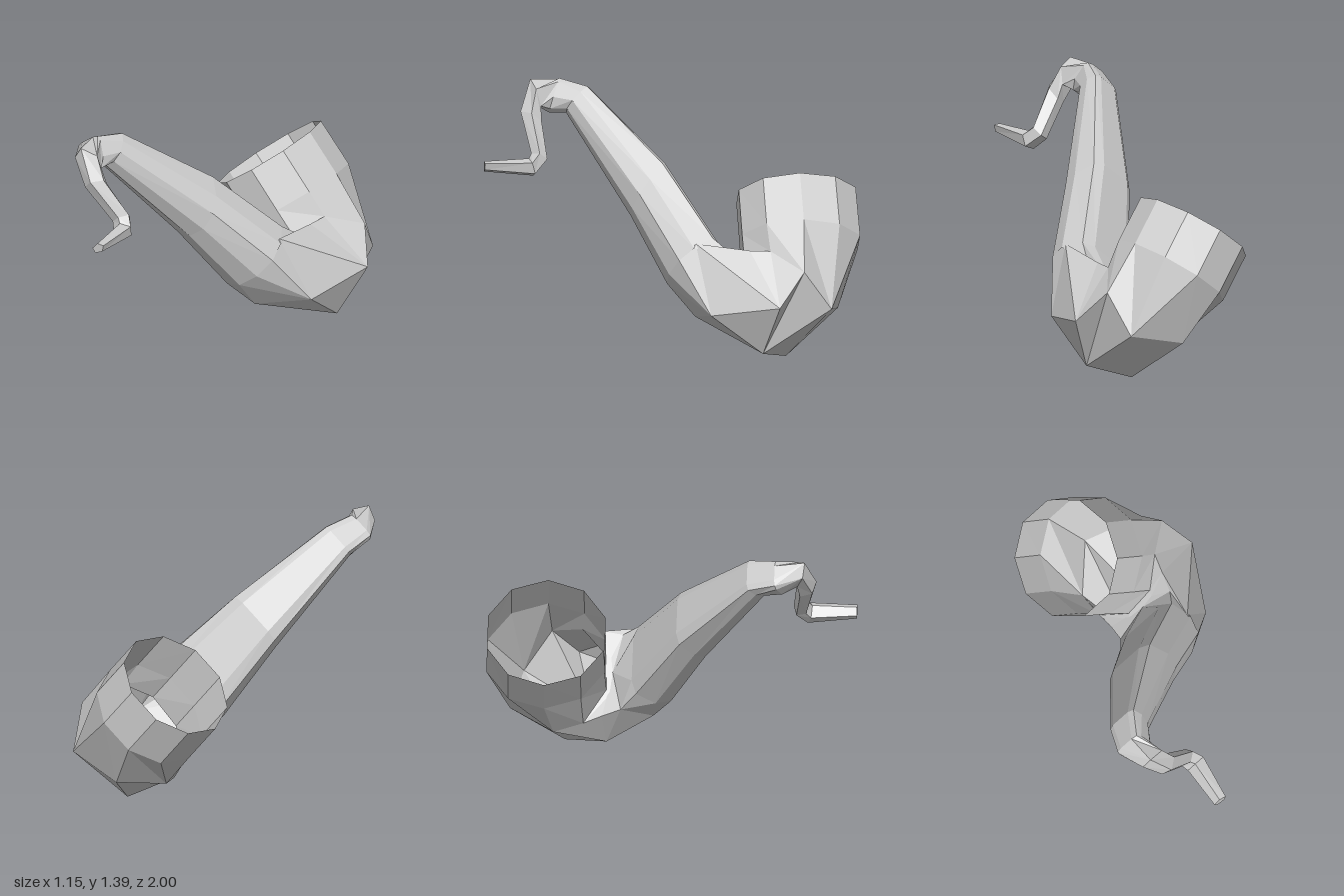
import * as THREE from 'three';

// The pipe lies tilted: U runs up the bowl, W runs across it, and z runs along the stem.
const U = new THREE.Vector3(-0.61, 0.79, 0);
const W = new THREE.Vector3(0.79, 0.61, 0);
const SIDES = 10;

// Cross-section: outer and inner edge as [z, u], centre and half-width along W,
// how far the widest point sits towards the outer edge, a power that squares off
// the inner side (1 = round), and merged corners per side.
function ring({ outer, inner, centre, half, wide = 0.5, square = 1, merge = 1 }) {
  const mid = inner.map((v, k) => v + (outer[k] - v) * wide);
  const points = [];
  for (let i = 0; i < SIDES; i++) {
    const t = Math.floor(i / merge) * merge / SIDES * Math.PI * 2;
    const sin = Math.sin(t) / Math.sin(Math.PI * 0.4);
    const cos = Math.cos(t);
    const edge = sin > 0 ? inner : outer;
    const power = sin > 0 ? square : 1;
    const [z, u] = mid.map((m, k) => m + (edge[k] - m) * Math.abs(sin) ** power);
    points.push(new THREE.Vector3(0, 0, z)
      .addScaledVector(U, u)
      .addScaledVector(W, centre + half * Math.sign(cos) * Math.abs(cos) ** power));
  }
  return points;
}

// Irregular cross-section: corners as [x, y, z], each repeated to make up the full count
function facetRing(...corners) {
  return corners.flatMap(([x, y, z, repeat = 1]) => Array(repeat).fill(new THREE.Vector3(x, y, z)));
}

// Faceted skin through a row of cross-sections
function loft(name, rings, capEnd, material) {
  const corners = [];
  for (let i = 0; i < rings.length - 1; i++) {
    for (let j = 0; j < SIDES; j++) {
      const k = (j + 1) % SIDES;
      const [a, b, c, d] = [rings[i][j], rings[i][k], rings[i + 1][j], rings[i + 1][k]];
      for (const tri of [[a, b, c], [b, d, c]]) {
        // skip triangles that vanish where corners merge
        if (new THREE.Triangle(...tri).getArea() > 1e-7) corners.push(...tri);
      }
    }
  }
  if (capEnd) {
    const end = rings[rings.length - 1];
    for (let j = 2; j < SIDES - 2; j += 2) corners.push(end[0], end[j], end[j + 2]);
  }
  const geometry = new THREE.BufferGeometry().setFromPoints(corners);
  geometry.computeVertexNormals();
  const mesh = new THREE.Mesh(geometry, material);
  mesh.name = name;
  return mesh;
}

export function createModel() {
  const group = new THREE.Group();
  group.name = 'smokingPipe';
  const material = new THREE.MeshStandardMaterial({
    color: 0xcccccc, flatShading: true, side: THREE.DoubleSide,
  });

  // sections shared by neighbouring parts
  const neck = ring({ outer: [0.04, 0.235], inner: [-0.22, 0.4], centre: 0.395, half: 0.225, square: 0.45 });
  const bend = ring({ outer: [0.68, 1.22], inner: [0.73, 1.38], centre: 0.46, half: 0.07, merge: 2 });
  const heel = ring({ outer: [0.73, 0.835], inner: [0.76, 0.925], centre: 0.445, half: 0.06, merge: 2 });

  // open bowl, its faceted base turning forward under a flat shoulder
  group.add(loft('bowl', [
    ring({ outer: [-0.99, 0.71], inner: [-0.36, 0.71], centre: 0.38, half: 0.32 }),
    ring({ outer: [-1.0, 0.43], inner: [-0.365, 0.45], centre: 0.38, half: 0.32 }),
    // foot of the bowl wall
    facetRing([0.47, 0.53, -0.67], [0.32, 0.61, -0.5], [0.21, 0.51, -0.37], [0.07, 0.37, -0.36],
      [-0.04, 0.22, -0.48], [-0.05, 0.17, -0.64, 2], [0.115, 0.23, -0.88], [0.43, 0.31, -0.82, 2]),
    // underside of the base
    facetRing([0.575, 0.36, -0.53], [0.3, 0.61, -0.39], [0.2, 0.5, -0.34], [0.06, 0.36, -0.33],
      [-0.03, 0.26, -0.38], [0.08, 0.06, -0.36, 2], [0.23, 0, -0.59], [0.43, 0.07, -0.45, 2]),
    // root of the stem
    facetRing([0.28, 0.65, -0.1], [0.28, 0.6, -0.28], [0.14, 0.44, -0.33, 2],
      [-0.03, 0.3, -0.28, 2], [0.12, 0.2, -0.11, 2], [0.44, 0.29, -0.17, 2]),
    neck,
  ], false, material));

  // tapering stem, flat on top, up to the high bend
  group.add(loft('stem', [
    neck,
    ring({ outer: [0.22, 0.62], inner: [0.03, 0.85], centre: 0.42, half: 0.175, square: 0.45 }),
    ring({ outer: [0.54, 1.21], inner: [0.42, 1.32], centre: 0.435, half: 0.1, wide: 0.4, square: 0.45 }),
    ring({ outer: [0.63, 1.22], inner: [0.57, 1.385], centre: 0.415, half: 0.085, wide: 0.2, square: 0.6 }),
    bend,
  ], false, material));

  // thin drop below the bend
  group.add(loft('stemDrop', [
    bend,
    ring({ outer: [0.68, 1.14], inner: [0.79, 1.2], centre: 0.445, half: 0.06, merge: 2 }),
    ring({ outer: [0.66, 0.92], inner: [0.745, 0.955], centre: 0.445, half: 0.055, merge: 2 }),
    heel,
  ], false, material));

  // flat-ended mouthpiece
  group.add(loft('mouthpiece', [
    heel,
    ring({ outer: [1.0, 0.865], inner: [1.0, 0.915], centre: 0.45, half: 0.042, merge: 2 }),
  ], true, material));

  return group;
}
